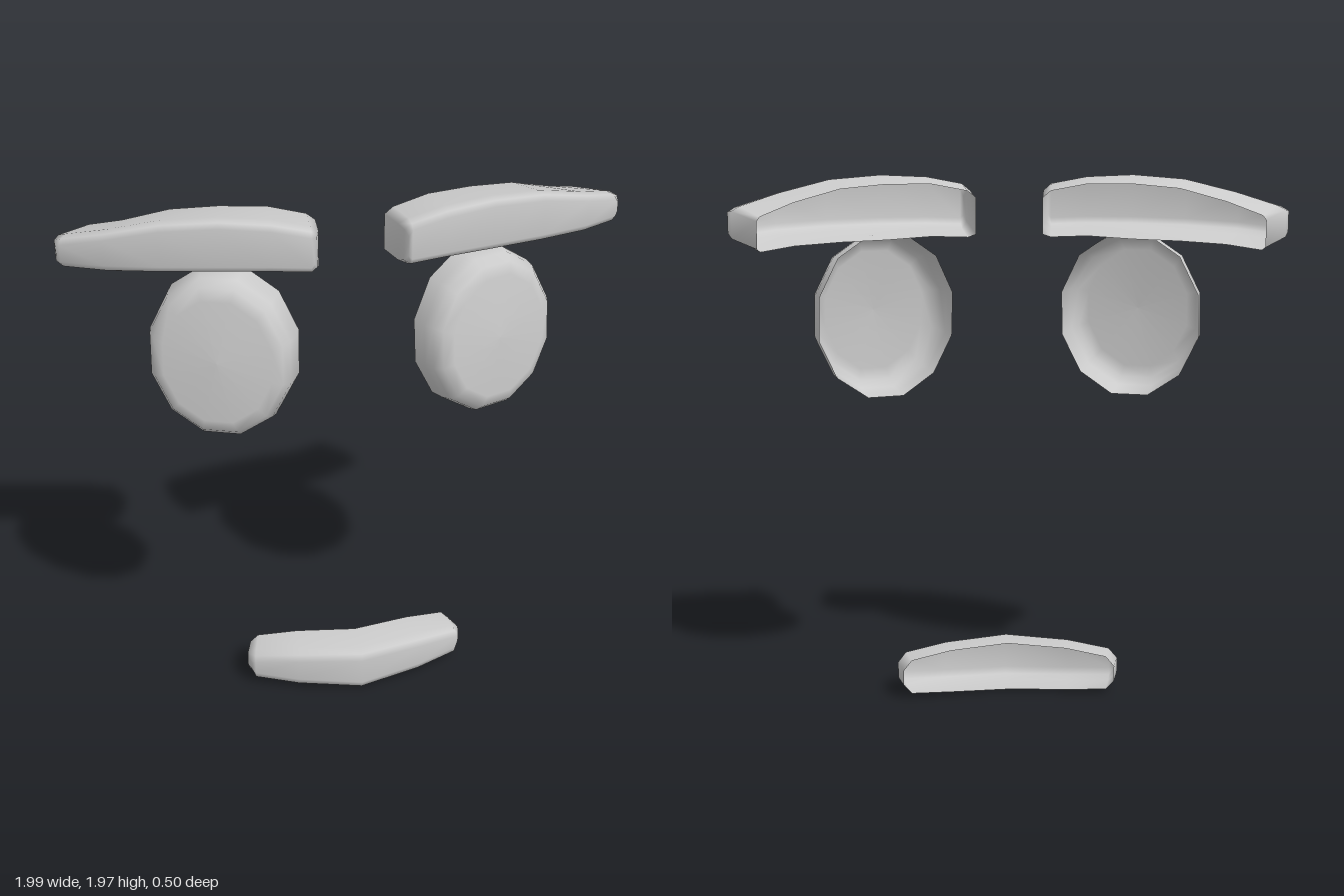
import * as THREE from 'three';

const material = new THREE.MeshStandardMaterial({ color: 0xcccccc, side: THREE.DoubleSide });

// Hollow bar, open at the back. Each station runs left to right:
// [x, z, top y, bottom y, back offset x, y, z]
function shell(name, stations, inset) {
  const n = stations.length, count = n * 2;
  // [share of the inset, share of the way to the back rim]
  const rings = [[1, 0], [0.35, 0.07], [0, 0.25], [0, 1]];
  const positions = [], index = [];

  for (const [share, depth] of rings) {
    const d = inset * share;
    const points = stations.map(([x, z, top, bottom, ox, oy, oz], i) => {
      let px = x, pz = z;
      if (i === 0 || i === n - 1) {
        // draw the ends in towards their neighbours
        const next = stations[i === 0 ? 1 : n - 2];
        const length = Math.hypot(next[0] - x, next[1] - z);
        const t = Math.min(0.6, d / length);
        px += (next[0] - x) * t;
        pz += (next[1] - z) * t;
      }
      const dy = Math.min(d, (top - bottom) * 0.3);
      return [px + ox * depth, pz + oz * depth, top - dy + oy * depth, bottom + dy + oy * depth];
    });
    for (const [x, z, top] of points) positions.push(x, top, z);
    for (const [x, z, , bottom] of points.reverse()) positions.push(x, bottom, z);
  }

  // front face
  for (let i = 0; i < n - 1; i++) {
    const a = i, b = i + 1, c = count - 1 - i, e = count - 2 - i;
    index.push(a, c, b, b, c, e);
  }
  // bevel and side walls
  for (let r = 0; r < rings.length - 1; r++) {
    for (let i = 0; i < count; i++) {
      const j = (i + 1) % count;
      const a = r * count + i, b = r * count + j;
      index.push(a, b, a + count, b, b + count, a + count);
    }
  }

  const geometry = new THREE.BufferGeometry();
  geometry.setAttribute('position', new THREE.Float32BufferAttribute(positions, 3));
  geometry.setIndex(index);
  geometry.computeVertexNormals();
  const mesh = new THREE.Mesh(geometry, material);
  mesh.name = name;
  return mesh;
}

// Twelve-sided oval cup, open at the back and turned outwards
function makeEye() {
  const profile = [[0.265, 0], [0.262, 0.06], [0.253, 0.1], [0.232, 0.132], [0.195, 0.148], [0, 0.157]]
    .map(([r, y]) => new THREE.Vector2(r, y));
  const geometry = new THREE.LatheGeometry(profile, 12, Math.PI / 12);
  geometry.rotateX(Math.PI / 2);
  geometry.scale(1, 1.17, 1);
  const eye = new THREE.Mesh(geometry, material);
  eye.name = 'eye';
  eye.position.set(0.445, 1.46, 0.04);
  eye.rotation.set(-0.08, 0.35, 0, 'YXZ');
  return eye;
}

function makeBrow() {
  return shell('eyebrow', [
    [0.14, 0.19, 1.92, 1.79, -0.02, -0.03, -0.19],
    [0.17, 0.21, 1.945, 1.78, -0.02, -0.03, -0.21],
    [0.30, 0.19, 1.97, 1.785, -0.02, -0.03, -0.22],
    [0.47, 0.155, 1.98, 1.785, -0.03, -0.04, -0.22],
    [0.66, 0.105, 1.965, 1.78, -0.06, -0.04, -0.21],
    [0.84, 0.035, 1.92, 1.77, -0.08, -0.04, -0.185],
    [0.98, -0.06, 1.875, 1.755, -0.11, -0.04, -0.18],
    [1.01, -0.10, 1.86, 1.765, -0.13, -0.04, -0.15],
  ], 0.03);
}

function makeMouth() {
  const half = [
    [-0.43, 0.105, 0.13, 0.07, 0.03, -0.01, -0.105],
    [-0.40, 0.135, 0.16, 0.03, 0.03, -0.005, -0.125],
    [-0.24, 0.19, 0.18, 0.015, 0.02, 0, -0.145],
  ];
  const mirrored = half.map(([x, z, t, b, ox, oy, oz]) => [-x, z, t, b, -ox, oy, oz]).reverse();
  return shell('mouth', [...half, [0, 0.245, 0.19, 0.005, 0, 0, -0.155], ...mirrored], 0.04);
}

export function createModel() {
  const model = new THREE.Group();
  model.name = 'face';
  // eye and eyebrow on each side
  for (const side of [1, -1]) {
    const group = new THREE.Group();
    group.name = side > 0 ? 'leftEyeAndBrow' : 'rightEyeAndBrow';
    group.add(makeBrow(), makeEye());
    group.scale.x = side;
    model.add(group);
  }
  model.add(makeMouth());
  return model;
}
